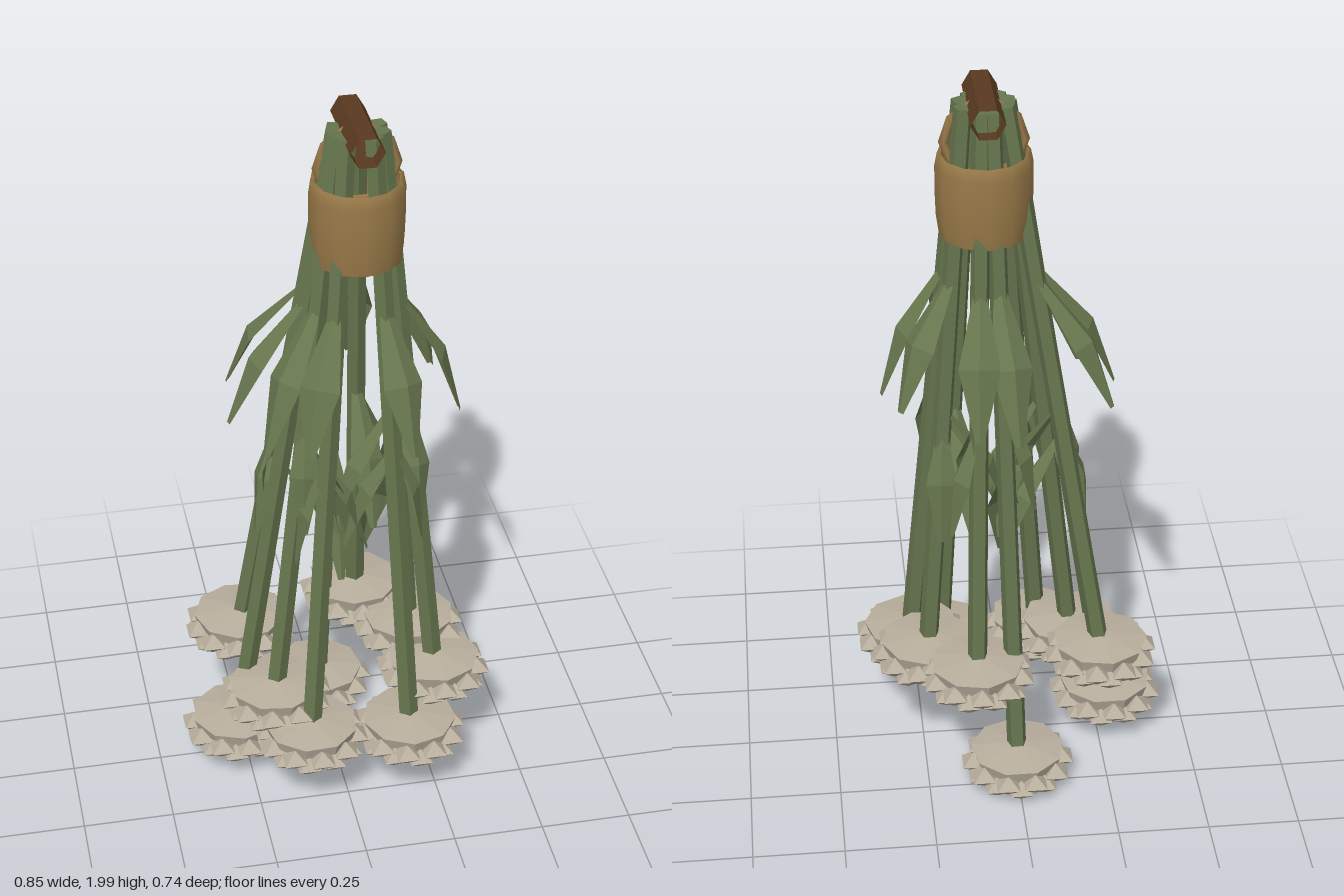
import * as THREE from 'three';

const mat = (name, color, extra = {}) =>
  Object.assign(new THREE.MeshStandardMaterial({ color, ...extra }), { name });
const V = (x, y, z) => new THREE.Vector3(x, y, z);
const UP = V(0, 1, 0);
const CX = 0.064, CZ = 0.016; // axis of the bundle

// flower heads: centre x, y, z, then x, z of the upper leaf's tip
const HEADS = [
  [0, 0.063, -0.215, 0.0, -0.27], [0.11, 0.37, -0.215, 0.105, -0.275],
  [0.235, 0.345, -0.058, 0.3, -0.13], [0.275, 0.3, 0.09, 0.34, 0.04],
  [0.18, 0.193, 0.217, 0.165, 0.28], [-0.1, 0.213, 0.217, -0.11, 0.27],
  [-0.18, 0.278, 0.1, -0.205, 0.165], [-0.275, 0.12, 0.015, -0.28, 0.02],
  [-0.24, 0.363, -0.13, -0.255, -0.155],
];

export function createModel() {
  const root = new THREE.Group();
  root.name = 'hangingFlowerBundle';
  const stemMat = mat('stem green', 0x66754e, { flatShading: true });
  const leafMat = mat('leaf green', 0x68774f, { flatShading: true, side: THREE.DoubleSide });
  const petalMat = mat('dry petal', 0xb8ae9d, { flatShading: true });
  const twineMat = mat('twine', 0x997a49, { side: THREE.DoubleSide });
  const woodMat = mat('dark wood', 0x5a3a20, { flatShading: true, side: THREE.DoubleSide });

  const add = (parent, name, geo, material, x = 0, y = 0, z = 0) => {
    const mesh = new THREE.Mesh(geo, material);
    mesh.name = name;
    mesh.position.set(x, y, z);
    parent.add(mesh);
    return mesh;
  };

  // straight rod from a to b
  const rod = (parent, name, a, b, rTop, rBottom) => {
    const mid = a.clone().add(b).multiplyScalar(0.5);
    const geo = new THREE.CylinderGeometry(rTop, rBottom, a.distanceTo(b), 5);
    const m = add(parent, name, geo, stemMat, mid.x, mid.y, mid.z);
    m.quaternion.setFromUnitVectors(UP, a.clone().sub(b).normalize());
  };

  // folded kite-shaped leaf: left edge, ridge and right edge along a bent spine
  const leaf = (parent, name, base, tip, width) => {
    const dir = V(tip.x - base.x, 0, tip.z - base.z);
    const out = dir.length(), drop = base.y - tip.y;
    dir.normalize();
    const side = V(-dir.z, 0, dir.x);
    const sections = [[0, 0, 0.25], [0.62, 0.5, 1], [1, 1, 0.2]];
    const pos = [], index = [];
    sections.forEach(([o, d, w], i) => {
      const c = base.clone().addScaledVector(dir, o * out).addScaledVector(UP, -d * drop);
      for (const s of [-1, 0, 1]) {
        const p = c.clone().addScaledVector(side, s * w * width);
        if (s === 0) p.addScaledVector(dir, 0.025 * w).addScaledVector(UP, 0.014 * w);
        pos.push(p.x, p.y, p.z);
      }
      if (i) for (const k of [0, 1]) {
        const a = (i - 1) * 3 + k, b = a + 3;
        index.push(a, a + 1, b, a + 1, b + 1, b);
      }
    });
    const geo = new THREE.BufferGeometry();
    geo.setAttribute('position', new THREE.Float32BufferAttribute(pos, 3));
    geo.setIndex(index);
    geo.computeVertexNormals();
    add(parent, name, geo, leafMat);
  };

  // small square bipyramid with edges along x and z
  const bud = new THREE.OctahedronGeometry(1);
  bud.rotateY(Math.PI / 4);
  bud.scale(0.044, 0.032, 0.044);
  const disc = new THREE.CylinderGeometry(0.13, 0.11, 0.062, 9);
  const dome = new THREE.ConeGeometry(0.13, 0.018, 9, 1, true);

  HEADS.forEach(([x, y, z, tipX, tipZ], i) => {
    const dir = V(x - CX, 0, z - CZ).normalize();
    const top = V(CX, 1.967, CZ).addScaledVector(dir, 0.06);
    const foot = V(x, y, z);
    const at = (h) => top.clone().lerp(foot, (top.y - h) / (top.y - foot.y));

    const plant = new THREE.Group();
    plant.name = 'flowerStem' + (i + 1);
    root.add(plant);
    rod(plant, 'stem', top, foot, 0.025, 0.028);

    // outer drooping leaf
    leaf(plant, 'upperLeaf', at(1.5), V(tipX, 1.12 + 0.02 * (i % 3), tipZ), 0.055);
    // lower leaves, tucked between the stems
    const tangent = V(-dir.z, 0, dir.x).multiplyScalar(i % 2 ? 1 : -1);
    const tipFrom = (h, inward, across, drop) => at(h).addScaledVector(dir, inward)
      .addScaledVector(tangent, across).addScaledVector(UP, -drop);
    const innerY = top.y - 0.53 * (top.y - y), lowerY = 1.16 - 0.05 * (i % 3);
    leaf(plant, 'innerLeaf', at(innerY), tipFrom(innerY, -0.17, 0.05, 0.36), 0.045);
    leaf(plant, 'lowerLeaf', at(lowerY), tipFrom(lowerY, 0.045, 0.07, 0.32), 0.042);

    // flower head facing down, with two staggered rows of petal tips
    const head = new THREE.Group();
    head.name = 'flowerHead';
    head.position.set(x, y, z);
    plant.add(head);
    add(head, 'flowerDisc', disc, petalMat, 0, 0.006, 0).rotation.y = i * 0.5;
    add(head, 'flowerDome', dome, petalMat, 0, 0.046, 0).rotation.y = i * 0.5;
    for (let k = 0; k < 20; k++) {
      const a = (k / 20) * Math.PI * 2 + i * 0.3;
      const r = k % 2 ? 0.112 : 0.123;
      add(head, 'petalTip', bud, petalMat,
        r * Math.cos(a), k % 2 ? -0.026 : -0.004, r * Math.sin(a));
    }
  });

  // wrapped band
  const profile = [[0.118, 1.608], [0.125, 1.66], [0.127, 1.72], [0.127, 1.8], [0.12, 1.835], [0.111, 1.83]]
    .map(([r, y]) => new THREE.Vector2(r, y));
  add(root, 'twineBand', new THREE.LatheGeometry(profile, 12), twineMat, CX, 0, CZ);

  // hanging loop
  add(root, 'hangingLoop', new THREE.TorusGeometry(0.104, 0.013, 4, 10), twineMat, CX, 1.866, 0.012);

  // hexagonal peg, open at both ends
  const peg = new THREE.CylinderGeometry(0.045, 0.045, 0.255, 6, 1, true);
  peg.rotateY(Math.PI / 2);
  peg.rotateX(Math.PI / 2);
  add(root, 'peg', peg, woodMat, CX, 1.961, CZ);

  return root;
}
